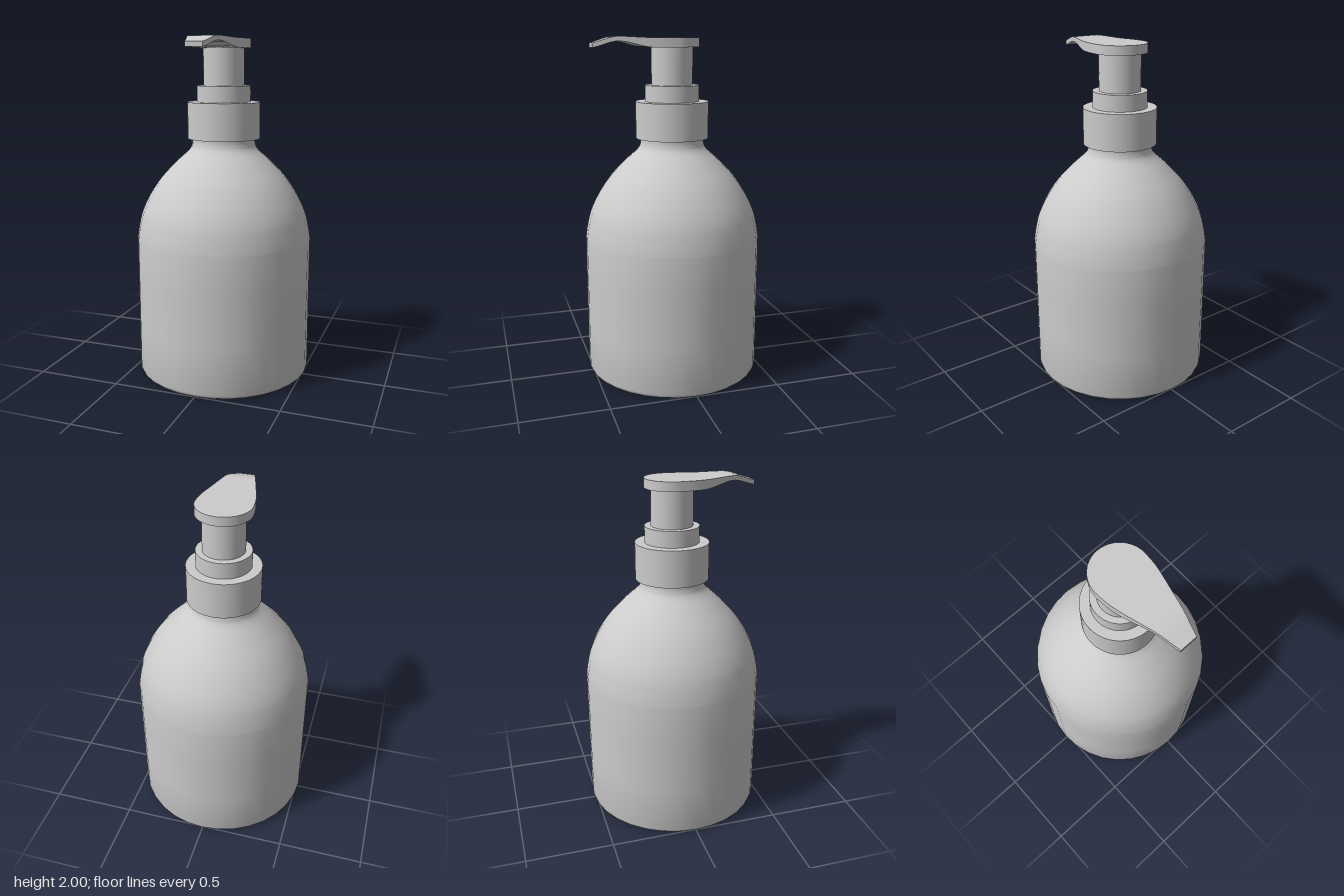
import * as THREE from 'three';
import { toCreasedNormals } from 'three/addons/utils/BufferGeometryUtils.js';

const material = new THREE.MeshStandardMaterial({ color: 0xcccccc });

function addMesh(group, name, geometry) {
  const mesh = new THREE.Mesh(geometry, material);
  mesh.name = name;
  group.add(mesh);
  return mesh;
}

// Upright cylinder standing between two heights
function addRing(group, name, radius, bottom, top) {
  const ring = addMesh(group, name, new THREE.CylinderGeometry(radius, radius, top - bottom, 64));
  ring.position.y = (bottom + top) / 2;
}

// Straight body with a small base fillet, domed shoulder and short neck
function bottleGeometry() {
  const profile = [
    [0, 0], [0.49, 0], [0.504, 0.003], [0.515, 0.012], [0.52, 0.028], [0.52, 0.3], [0.52, 0.6], [0.52, 0.83],
  ].map(([r, y]) => new THREE.Vector2(r, y));
  const shoulder = new THREE.SplineCurve([
    [0.52, 0.83], [0.509, 0.9], [0.486, 0.99], [0.438, 1.09], [0.37, 1.19],
    [0.28, 1.285], [0.207, 1.352], [0.187, 1.39], [0.185, 1.43],
  ].map(([r, y]) => new THREE.Vector2(r, y)));
  profile.push(...shoulder.getPoints(32).slice(1));
  return toCreasedNormals(new THREE.LatheGeometry(profile, 32), 0.7);
}

// Pump head: stations along z of half width, top and bottom height
function headGeometry() {
  const stations = [];
  const r = 0.157;
  for (let i = 0; i <= 16; i++) {
    const a = (i / 16) * Math.PI / 2;
    stations.push([-r * Math.cos(a), r * Math.sin(a)]);
  }
  const taper = new THREE.SplineCurve([
    [0, r], [0.08, 0.151], [0.16, 0.134], [0.26, 0.107], [0.37, 0.077], [0.47, 0.05],
  ].map(([z, w]) => new THREE.Vector2(z, w)));
  taper.getPoints(30).slice(1).forEach((p) => stations.push([p.x, p.y]));

  // Height of a smooth line through [z, y] knots
  const heightAt = (knots, z) => {
    let i = 0;
    while (i < knots.length - 2 && z > knots[i + 1][0]) i++;
    const [z0, y0] = knots[i], [z1, y1] = knots[i + 1];
    return y0 + (y1 - y0) * THREE.MathUtils.smoothstep(z, z0, z1);
  };
  const topLine = [[-0.16, 1.993], [0.15, 1.993], [0.33, 2], [0.5, 1.962]];
  const bottomLine = [[-0.16, 1.94], [0.14, 1.94], [0.33, 1.974], [0.49, 1.937]];

  const positions = [], index = [];
  stations.forEach(([z, w], s) => {
    const t = heightAt(topLine, z), b = heightAt(bottomLine, z);
    positions.push(-w, b, z, w, b, z, w, t, z, -w, t, z);
    if (s === 0) return;
    for (let k = 0; k < 4; k++) {
      const a = (s - 1) * 4 + k, c = (s - 1) * 4 + (k + 1) % 4;
      index.push(a, c, c + 4, a, c + 4, a + 4);
    }
  });
  // Flat spout tip
  const e = (stations.length - 1) * 4;
  index.push(e, e + 1, e + 2, e, e + 2, e + 3);
  const geometry = new THREE.BufferGeometry();
  geometry.setAttribute('position', new THREE.Float32BufferAttribute(positions, 3));
  geometry.setIndex(index);
  return toCreasedNormals(geometry, 0.6);
}

export function createModel() {
  const model = new THREE.Group();
  model.name = 'soapDispenser';
  addMesh(model, 'bottle', bottleGeometry());

  const pump = new THREE.Group();
  pump.name = 'pump';
  addRing(pump, 'collar', 0.213, 1.42, 1.633);
  addRing(pump, 'upperCollar', 0.157, 1.633, 1.727);
  addRing(pump, 'stem', 0.12, 1.727, 1.945);
  addMesh(pump, 'pumpHead', headGeometry());
  model.add(pump);
  return model;
}
